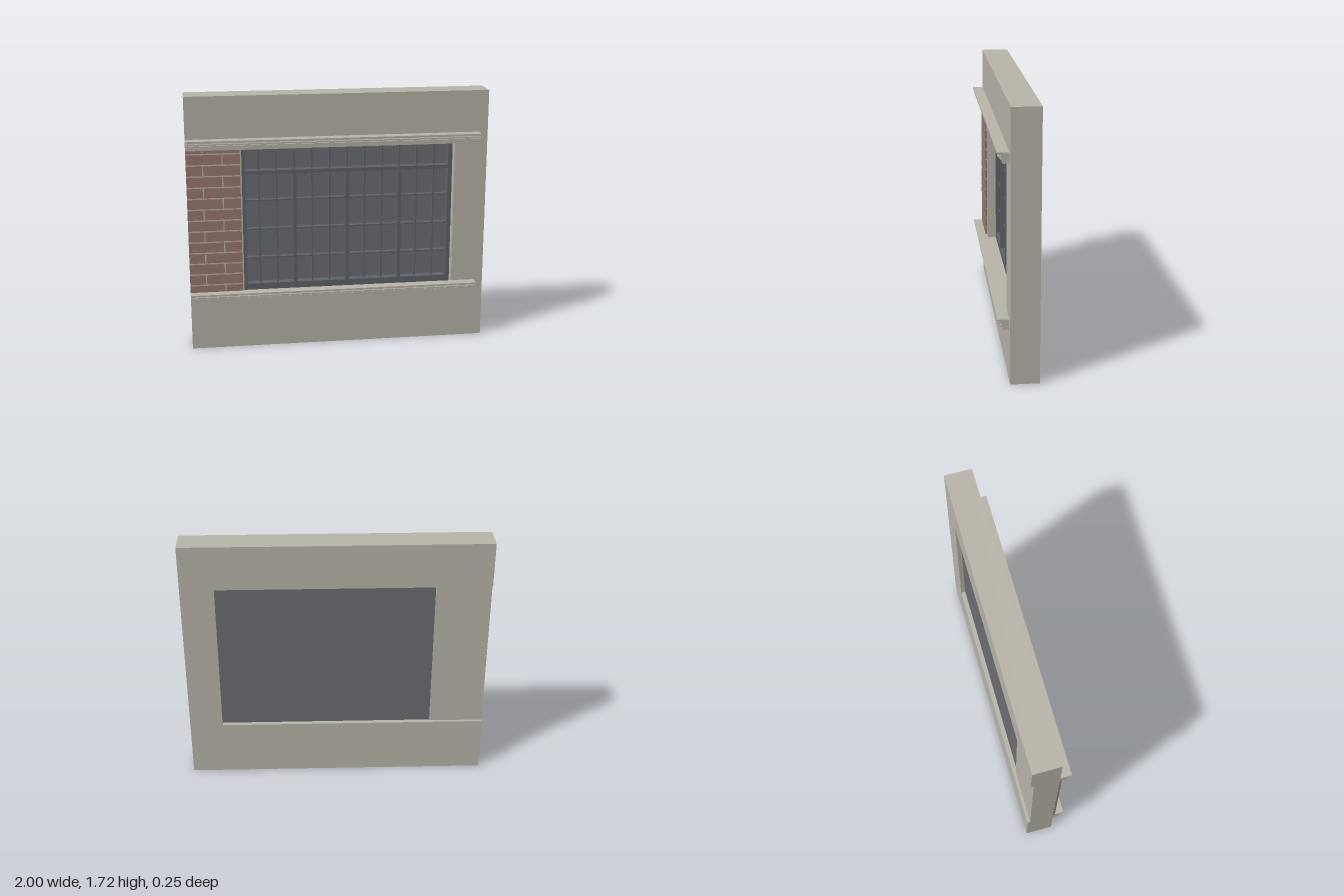
import * as THREE from 'three';

const material = (name, color, extra = {}) => {
  const m = new THREE.MeshStandardMaterial({ color });
  m.name = name;
  return m;
};

export function createModel() {
  const model = new THREE.Group();
  model.name = 'wallWithWindow';
  const plaster = material('plaster', 0xb9b5aa);
  const brickRed = material('brick', 0x98796c);
  const frameGrey = material('frame', 0x5f6368);
  const glassGrey = material('glass', 0x6c6e72);

  // Box given by its limits on each axis
  const box = (parent, name, mat, x0, x1, y0, y1, z0, z1) => {
    const mesh = new THREE.Mesh(new THREE.BoxGeometry(x1 - x0, y1 - y0, z1 - z0), mat);
    mesh.position.set((x0 + x1) / 2, (y0 + y1) / 2, (z0 + z1) / 2);
    mesh.name = name;
    parent.add(mesh);
  };
  const group = (name) => {
    const g = new THREE.Group();
    g.name = name;
    model.add(g);
    return g;
  };

  const wallFront = 0.055, wallBack = -0.127;
  const bottom = 0.38, top = 1.42, left = -0.64, right = 0.78;

  // C-shaped wall, open on one side where the brick pier stands
  const outline = [[-1, 0], [1, 0], [1, 1.72], [-1, 1.72], [-1, top], [right, top], [right, bottom], [-1, bottom]];
  const wallShape = new THREE.Shape(outline.map(([x, y]) => new THREE.Vector2(x, y)));
  const wall = new THREE.Mesh(
    new THREE.ExtrudeGeometry(wallShape, { depth: wallFront - wallBack, bevelEnabled: false }), plaster);
  wall.position.z = wallBack;
  wall.name = 'wall';
  model.add(wall);

  // Pier, slightly recessed at the back
  box(model, 'pier', plaster, -1, left, bottom, top, -0.108, wallFront);

  // Bricks in running bond on the pier
  const bricks = group('bricks');
  const pitch = 0.0743, brickHeight = 0.065;
  for (let row = -1; row < 13; row++) {
    const y1 = Math.min(1.341 - row * pitch, 1.385);
    const y0 = Math.max(1.341 - row * pitch - brickHeight, 0.395);
    const joint = row % 2 === 0 ? -0.765 : -0.892;
    box(bricks, 'brick', brickRed, -1, joint - 0.004, y0, y1, wallFront - 0.005, 0.067);
    box(bricks, 'brick', brickRed, joint + 0.004, -0.65, y0, y1, wallFront - 0.005, 0.067);
  }

  // Two stepped mouldings: [z, height] pairs from bottom to top
  const steps = [[wallFront, 0], [0.095, 0], [0.095, 0.024], [0.11, 0.024], [0.11, 0.033], [0.1, 0.033],
    [0.1, 0.038], [0.122, 0.038], [0.122, 0.048], [0.105, 0.048], [0.105, 0.054], [0.127, 0.054],
    [0.127, 0.067], [wallFront, 0.067]];
  const profile = new THREE.Shape(steps.map(([z, y]) => new THREE.Vector2(-z, y)));
  for (const [name, y] of [['lowerMoulding', 0.337], ['upperMoulding', 1.375]]) {
    const geometry = new THREE.ExtrudeGeometry(profile, { depth: 1.94, bevelEnabled: false });
    geometry.rotateY(Math.PI / 2);
    const moulding = new THREE.Mesh(geometry, plaster);
    moulding.position.set(-1, y, 0);
    moulding.name = name;
    model.add(moulding);
  }

  // Glass pane and its frame
  const glassFront = -0.065, frameFront = -0.008, barFront = -0.028;
  box(model, 'glass', glassGrey, left, right, bottom, top, -0.097, glassFront);
  const frame = group('windowFrame');
  box(frame, 'leftStile', frameGrey, left, -0.615, bottom, top, glassFront, frameFront);
  box(frame, 'rightStile', frameGrey, 0.752, right, bottom, top, glassFront, frameFront);
  box(frame, 'bottomRail', frameGrey, -0.615, 0.752, bottom, 0.424, glassFront, frameFront);
  box(frame, 'topRail', frameGrey, -0.615, 0.752, 1.395, top, glassFront, frameFront);
  box(frame, 'transom', frameGrey, -0.615, 0.752, 1.184, 1.208, glassFront, frameFront);

  // Thick mullions every third bar, thin bars between
  const spacing = 0.1183;
  for (let i = 1; i <= 11; i++) {
    const x = -0.643 + i * spacing;
    const thick = i % 3 === 0;
    const half = thick ? 0.012 : 0.005;
    box(frame, thick ? 'mullion' : 'bar', frameGrey, x - half, x + half, 0.424, 1.184,
      glassFront, thick ? frameFront : barFront);
    box(frame, 'upperBar', frameGrey, x - 0.005, x + 0.005, 1.208, 1.395, glassFront, barFront);
  }
  for (const y of [0.6, 0.8, 1.0]) {
    box(frame, 'crossBar', frameGrey, -0.615, 0.752, y - 0.005, y + 0.005, glassFront, barFront - 0.001);
  }
  return model;
}
